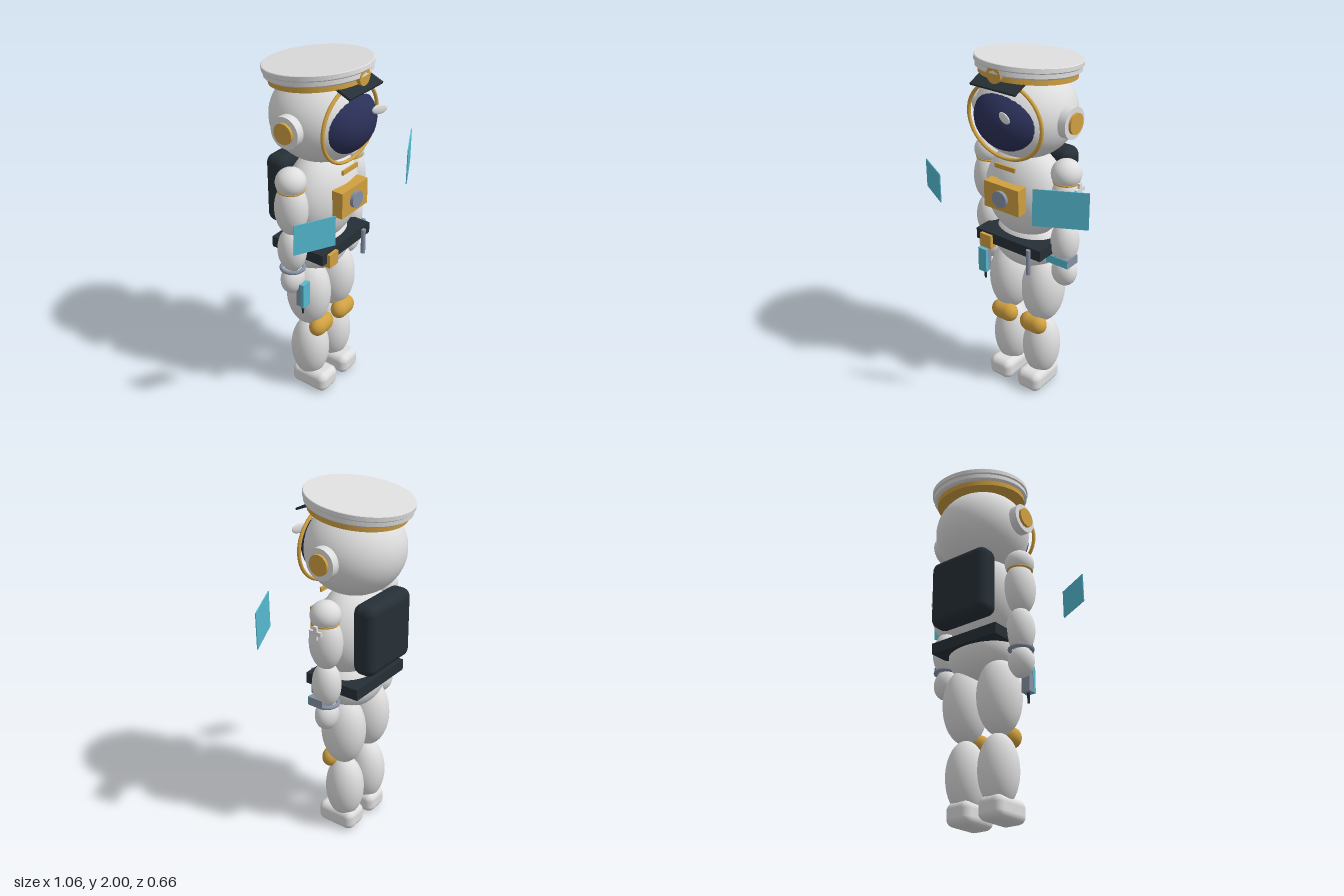
import * as THREE from 'three';
import { RoundedBoxGeometry } from 'three/addons/geometries/RoundedBoxGeometry.js';

const material = (name, color) => {
  const m = new THREE.MeshStandardMaterial({ color });
  m.name = name;
  return m;
};

export function createModel() {
  const white = material('suitWhite', 0xdedede);
  const gold = material('gold', 0xd0a040);
  const dark = material('darkSlate', 0x262f36);
  const navy = material('visorNavy', 0x2b3058);
  const grey = material('steelGrey', 0x8792a6);
  const cyan = material('screenCyan', 0x55bad2);

  const model = new THREE.Group();
  model.name = 'astronaut';
  const body = new THREE.Group();
  body.name = 'body';
  body.position.set(-0.014, 0, -0.017);
  model.add(body);

  const add = (parent, name, geometry, mat, x, y, z) => {
    const mesh = new THREE.Mesh(geometry, mat);
    mesh.name = name;
    mesh.position.set(x, y, z);
    parent.add(mesh);
    return mesh;
  };
  const ball = new THREE.SphereGeometry(1, 40, 28);
  const ellipsoid = (parent, name, mat, x, y, z, rx, ry, rz) => {
    const mesh = add(parent, name, ball, mat, x, y, z);
    mesh.scale.set(rx, ry, rz);
    return mesh;
  };
  const box = (parent, name, mat, x, y, z, w, h, d) =>
    add(parent, name, new THREE.BoxGeometry(w, h, d), mat, x, y, z);
  const rounded = (parent, name, mat, x, y, z, w, h, d, r) =>
    add(parent, name, new RoundedBoxGeometry(w, h, d, 5, r), mat, x, y, z);

  // Helmet, visor and rim
  ellipsoid(body, 'helmet', white, 0, 1.685, 0, 0.268, 0.244, 0.268);
  ellipsoid(body, 'visor', navy, 0, 1.683, 0.107, 0.213, 0.18, 0.185);
  const rim = add(body, 'visorRim', new THREE.TorusGeometry(0.233, 0.01, 12, 64), gold, 0, 1.68, 0.182);
  rim.scale.y = 0.87;
  const glint = ellipsoid(body, 'visorGlint', white, 0.09, 1.751, 0.292, 0.047, 0.026, 0.009);
  glint.rotation.set(0, -0.32, -0.1);

  // Earpieces
  for (const s of [-1, 1]) {
    const ear = add(body, 'earpiece', new THREE.CylinderGeometry(0.084, 0.084, 0.06, 40), white, s * 0.269, 1.683, 0);
    const cap = add(body, 'earpieceCap', new THREE.CylinderGeometry(0.055, 0.055, 0.03, 40), gold, s * 0.299, 1.683, 0);
    ear.rotation.z = cap.rotation.z = Math.PI / 2;
  }

  // Tilted cap with band, brim and badge
  const hat = new THREE.Group();
  hat.name = 'cap';
  hat.position.set(0, 1.934, -0.02);
  hat.rotation.x = -0.12;
  body.add(hat);
  const crownProfile = [[0, -0.03], [0.255, -0.03], [0.264, -0.022], [0.264, 0], [0.271, 0.006], [0.271, 0.028], [0.268, 0.031], [0, 0.031]]
    .map(([x, y]) => new THREE.Vector2(x, y));
  // split each profile segment so corners stay sharp
  for (let i = 0; i < crownProfile.length - 1; i++) {
    add(hat, 'capCrown', new THREE.LatheGeometry([crownProfile[i], crownProfile[i + 1]], 64), white, 0, 0, 0).scale.z = 1.075;
  }
  add(hat, 'capBand', new THREE.CylinderGeometry(0.25, 0.25, 0.03, 64), gold, 0, -0.043, 0).scale.z = 1.04;
  box(body, 'capBrim', dark, 0, 1.888, 0.227, 0.28, 0.012, 0.1).rotation.x = 0.4;
  add(body, 'capBadge', new THREE.CylinderGeometry(0.043, 0.043, 0.025, 32), gold, 0, 1.938, 0.25).rotation.x = Math.PI / 2;

  // Torso, pelvis and backpack
  ellipsoid(body, 'torso', white, 0, 1.235, 0.008, 0.24, 0.265, 0.17);
  ellipsoid(body, 'pelvis', white, 0, 0.925, -0.005, 0.205, 0.15, 0.14);
  rounded(body, 'backpack', dark, 0, 1.26, -0.171, 0.38, 0.398, 0.132, 0.05);

  // Chest unit and collar plate
  box(body, 'chestUnit', gold, 0, 1.262, 0.185, 0.227, 0.148, 0.065);
  add(body, 'chestDial', new THREE.CylinderGeometry(0.046, 0.046, 0.03, 40), grey, 0, 1.262, 0.222).rotation.x = Math.PI / 2;
  box(body, 'collarPlate', gold, 0, 1.425, 0.182, 0.13, 0.025, 0.01);

  // Belt with pouch and rod
  box(body, 'belt', dark, 0, 0.966, 0, 0.434, 0.063, 0.338);
  box(body, 'beltPouch', gold, -0.14, 0.947, 0.165, 0.074, 0.08, 0.045);
  add(body, 'beltRod', new THREE.CylinderGeometry(0.013, 0.013, 0.15, 20), grey, 0.147, 0.913, 0.177);

  // Arms and legs
  for (const s of [-1, 1]) {
    const arm = new THREE.Group();
    arm.name = s > 0 ? 'leftArm' : 'rightArm';
    arm.position.x = s * 0.257;
    body.add(arm);
    ellipsoid(arm, 'shoulder', white, 0, 1.4, 0, 0.081, 0.078, 0.081);
    ellipsoid(arm, 'upperArm', white, 0, 1.246, 0, 0.084, 0.152, 0.092);
    ellipsoid(arm, 'forearm', white, 0, 1.0, 0, 0.076, 0.13, 0.08);
    ellipsoid(arm, 'hand', white, 0, 0.815, 0, 0.074, 0.085, 0.061);
    add(arm, 'armBand', new THREE.TorusGeometry(0.067, 0.006, 10, 48), gold, 0, 1.357, 0).rotation.x = Math.PI / 2;
    add(arm, 'wristBand', new THREE.TorusGeometry(0.06, 0.011, 12, 48), grey, 0, 0.888, 0).rotation.x = Math.PI / 2;

    const leg = new THREE.Group();
    leg.name = s > 0 ? 'leftLeg' : 'rightLeg';
    leg.position.x = s * 0.106;
    body.add(leg);
    ellipsoid(leg, 'thigh', white, s * 0.009, 0.655, -0.004, 0.118, 0.212, 0.128);
    ellipsoid(leg, 'shin', white, 0, 0.262, -0.004, 0.107, 0.197, 0.111);
    const knee = add(leg, 'kneePad', new THREE.CapsuleGeometry(0.057, 0.056, 10, 32), gold, -s * 0.003, 0.447, 0.073);
    knee.rotation.z = Math.PI / 2;
    knee.scale.z = 0.85;
    rounded(leg, 'boot', white, -s * 0.003, 0.063, 0.025, 0.155, 0.125, 0.238, 0.042);
  }

  // Cross emblem on the left upper arm
  box(body, 'armCrossBar', white, 0.341, 1.33, 0, 0.014, 0.022, 0.075);
  box(body, 'armCrossPost', white, 0.341, 1.33, 0, 0.014, 0.075, 0.022);

  // Wrist computer on the left forearm
  box(body, 'wristComputer', grey, 0.257, 0.908, 0.024, 0.14, 0.05, 0.09);
  box(body, 'wristScreen', cyan, 0.257, 0.908, 0.071, 0.136, 0.046, 0.005);

  // Hand tool held in the right hand
  box(model, 'toolBody', grey, -0.267, 0.735, 0.038, 0.05, 0.14, 0.035);
  box(model, 'toolGlow', cyan, -0.267, 0.738, 0.062, 0.056, 0.148, 0.02);
  add(model, 'toolTip', new THREE.CylinderGeometry(0.009, 0.006, 0.08, 16), dark, -0.267, 0.648, 0.045);

  // Floating screens
  box(model, 'leftFloatingScreen', cyan, 0.407, 1.357, 0.26, 0.277, 0.2, 0.005).rotation.y = 0.488;
  box(model, 'rightFloatingScreen', cyan, -0.435, 1.265, 0.258, 0.222, 0.165, 0.005).rotation.y = -0.488;

  return model;
}
